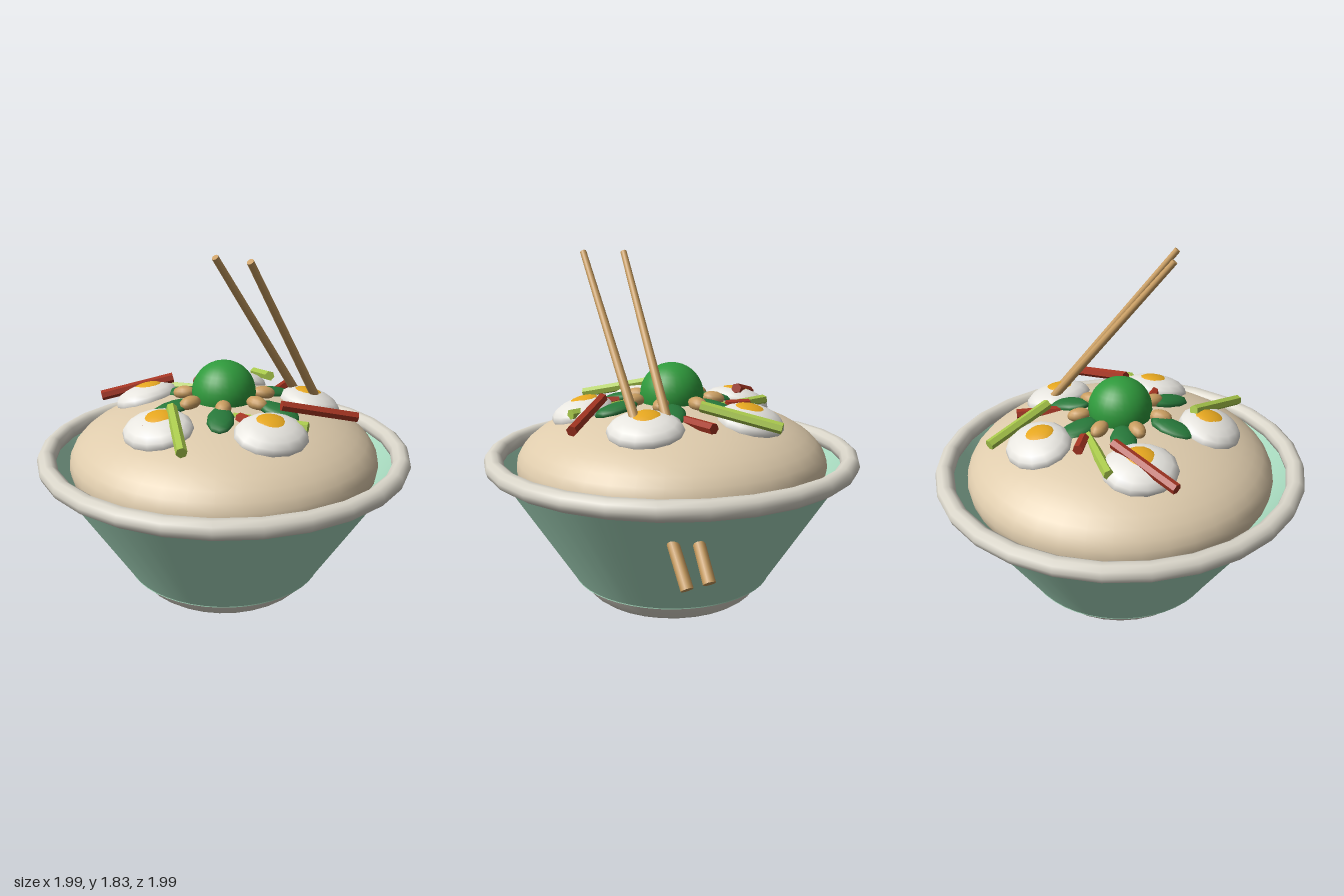
import * as THREE from 'three';

const mat = (name, color, opts = {}) => {
  const m = new THREE.MeshStandardMaterial({ color, ...opts });
  m.name = name;
  return m;
};

export function createModel() {
  const root = new THREE.Group();
  root.name = 'riceBowl';
  const mint = mat('mint glaze', 0xa8dabf, { side: THREE.DoubleSide });
  const stone = mat('pale stone', 0xd9d5c9);
  const rice = mat('rice', 0xdecbac);
  const white = mat('egg white', 0xf1efe9);
  const yolk = mat('yolk', 0xe6a71f);
  const green = mat('bright green', 0x2f9a3c);
  const leafGreen = mat('leaf green', 0x27783a);
  const wood = mat('warm wood', 0xc99d60);
  const red = mat('red pepper', 0xa63522, { flatShading: true });
  const lime = mat('spring onion', 0xa9c94c, { flatShading: true });

  const add = (parent, name, geo, material) => {
    const mesh = new THREE.Mesh(geo, material);
    mesh.name = name;
    parent.add(mesh);
    return mesh;
  };
  const blob = (rx, ry, rz, w = 16, h = 10) => new THREE.SphereGeometry(1, w, h).scale(rx, ry, rz);
  const lathe = (pts, seg) => new THREE.LatheGeometry(pts.map(p => new THREE.Vector2(...p)), seg);

  // Group at a polar position whose local x points outward, leaning by tilt
  const radial = (name, angle, r, y, tilt) => {
    const pivot = new THREE.Group();
    pivot.name = name;
    pivot.rotation.set(0, -angle, 0);
    const seat = new THREE.Group();
    seat.position.set(r, y, 0);
    seat.rotation.z = -tilt;
    pivot.add(seat);
    root.add(pivot);
    return seat;
  };

  // Straight stick between two points
  const stick = (name, a, b, rA, rB, sides, material) => {
    const p = new THREE.Vector3(...a), q = new THREE.Vector3(...b);
    const dir = q.clone().sub(p);
    const m = add(root, name, new THREE.CylinderGeometry(rB, rA, dir.length(), sides), material);
    m.position.copy(p).add(q).multiplyScalar(0.5);
    m.quaternion.setFromUnitVectors(new THREE.Vector3(0, 1, 0), dir.normalize());
  };

  // Bowl wall, foot and rim
  add(root, 'bowlWall', lathe([[0.54, 0.105], [0.925, 0.72]], 48), mint);
  add(root, 'bowlFloor', new THREE.CylinderGeometry(0.54, 0.54, 0.01, 48), mint).position.y = 0.105;
  add(root, 'foot', lathe([[0, 0], [0.44, 0], [0.465, 0.02], [0.5, 0.075], [0.515, 0.1]], 32), stone);
  const rim = add(root, 'rim', new THREE.TorusGeometry(0.947, 0.049, 10, 28).rotateX(Math.PI / 2), stone);
  rim.position.y = 0.755;

  // Mound of rice
  add(root, 'riceMound', blob(0.83, 0.33, 0.83, 40, 24), rice).position.y = 0.72;

  // Ball in the middle
  add(root, 'centreBall', blob(0.17, 0.17, 0.17, 28, 18), green).position.y = 1.08;

  // Ring of nuts
  for (let i = 0; i < 7; i++) {
    const seat = radial('nut', -0.26 + i * Math.PI * 2 / 7, 0.22, 1.06, 0.1);
    add(seat, 'nutBody', blob(0.062, 0.036, 0.042, 12, 8), wood);
  }

  // Ring of leaves
  for (let i = 0; i < 6; i++) {
    const seat = radial('leaf', Math.PI / 6 + i * Math.PI / 3, [0.33, 0.32, 0.3, 0.27, 0.26, 0.31][i], 1.03, 0.2);
    add(seat, 'leafBlade', blob(0.125, 0.033, 0.07, 10, 8), leafGreen);
  }

  // Fried eggs
  for (let i = 0; i < 5; i++) {
    const seat = radial('egg', -1.5 + i * Math.PI * 2 / 5, 0.475, 0.985, 0.25);
    add(seat, 'eggWhite', blob(0.168, 0.08, 0.193, 14, 10), white);
    add(seat, 'eggYolk', blob(0.092, 0.036, 0.092, 16, 10), yolk).position.set(-0.015, 0.05, 0);
  }

  // Leaning and half-buried vegetable strips; each has a partner half a turn away
  const strips = [
    [red, [0.3, 1.085, 0.24], [0.69, 1.0, 0.15]],
    [red, [0.21, 1.01, -0.08], [0.36, 1.01, -0.43]],
    [red, [-0.18, 1.03, -0.37], [-0.09, 1.03, -0.28]],
    [lime, [0.245, 1.085, -0.3], [0.155, 1.0, -0.69]],
    [lime, [0.06, 1.015, 0.24], [0.43, 1.01, 0.35]],
  ];
  for (const [m, a, b] of strips) {
    for (const s of [1, -1]) {
      const turn = p => [s * p[0], p[1], s * p[2]];
      stick(m === red ? 'pepperStrip' : 'onionStrip', turn(a), turn(b), 0.028, 0.028, 6, m);
    }
  }

  // Chopsticks, passing through the bowl wall
  stick('chopstick', [0.715, 0.41, -0.59], [-0.025, 1.82, 0.31], 0.03, 0.017, 10, wood);
  stick('chopstick', [0.78, 0.39, -0.515], [0.14, 1.82, 0.455], 0.03, 0.017, 10, wood);

  return root;
}
